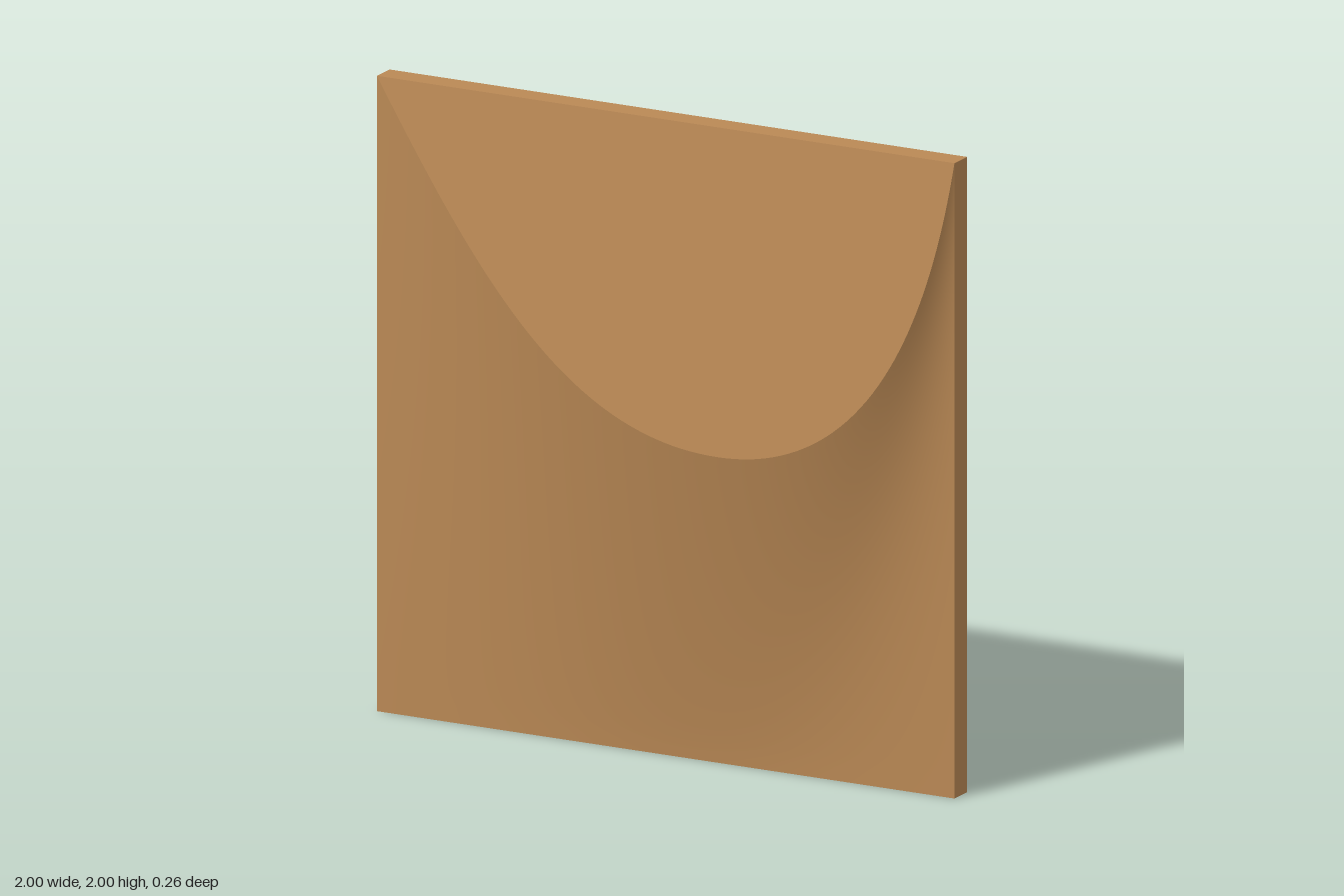
import * as THREE from 'three';

const V = (x, y) => new THREE.Vector2(x, y);
const COLUMNS = 96;
const ROWS = 32;

// Curved ridge, swooping from one top corner to the other
function ridgePoints() {
  const ridge = new THREE.CurvePath();
  ridge.add(new THREE.CubicBezierCurve(V(-1, 2), V(-0.6, 1.46), V(-0.25, 1.02), V(0.28, 1.02)));
  ridge.add(new THREE.CubicBezierCurve(V(0.28, 1.02), V(0.72, 1.02), V(0.95, 1.37), V(1, 2)));
  return ridge.getSpacedPoints(COLUMNS);
}

// Surface from a top row of points to a bottom row; power(t) sets how quickly
// the forward bulge dies away down each column
function sweep(top, bottom, rows, faceBack, power) {
  const pos = [], index = [];
  const n = top.length;
  for (let j = 0; j <= rows; j++) {
    const v = j / rows;
    for (let i = 0; i < n; i++) {
      const p = top[i].clone().lerp(bottom[i], v);
      const fade = Math.pow(1 - v, power(i / (n - 1)));
      pos.push(p.x, p.y, bottom[i].z + (top[i].z - bottom[i].z) * fade);
    }
  }
  for (let j = 0; j < rows; j++) {
    for (let i = 0; i < n - 1; i++) {
      const a = j * n + i, b = a + 1, c = a + n, d = c + 1;
      if (faceBack) index.push(a, b, c, b, d, c);
      else index.push(a, c, b, b, c, d);
    }
  }
  const geo = new THREE.BufferGeometry();
  geo.setAttribute('position', new THREE.Float32BufferAttribute(pos, 3));
  geo.setIndex(index);
  geo.computeVertexNormals();
  return geo;
}

// Square ring centred on y = 1
function ring(outer, inner, z0, z1) {
  const square = (Type, h) => new Type([V(-h, 1 - h), V(h, 1 - h), V(h, 1 + h), V(-h, 1 + h)]);
  const shape = square(THREE.Shape, outer);
  shape.holes.push(square(THREE.Path, inner));
  return new THREE.ExtrudeGeometry(shape, { depth: z1 - z0, bevelEnabled: false }).translate(0, 0, z0);
}

export function createModel() {
  const group = new THREE.Group();
  const wood = new THREE.MeshStandardMaterial({ color: 0xba8955 });
  wood.name = 'warm wood';

  const add = (name, geometry) => {
    const mesh = new THREE.Mesh(geometry, wood);
    mesh.name = name;
    group.add(mesh);
  };

  // Sculpted skin: flat leaning plane above the ridge, fading sweep below it.
  // half = half width, z = edge depth, peakY and peakZ = lowest point of the ridge
  const points = ridgePoints();
  const addRelief = (name, { half, z, peakY, peakZ, faceBack }) => {
    const topY = 1 + half;
    const ridge = points.map((p) => {
      const drop = (2 - p.y) / 0.98;
      return new THREE.Vector3(p.x * half, topY - drop * (topY - peakY), z + drop * (peakZ - z));
    });
    const top = points.map((p) => new THREE.Vector3(p.x * half, topY, z));
    const bottom = points.map((p, i) =>
      new THREE.Vector3((-1 + (2 * i) / COLUMNS) * half, 1 - half, z));
    add(name + 'UpperPlane', sweep(top, ridge, 1, faceBack, () => 1));
    add(name + 'LowerSweep', sweep(ridge, bottom, ROWS, faceBack, (t) => 1.18 + 0.5 * t ** 6));
  };
  addRelief('front', { half: 1, z: -0.05, peakY: 1.02, peakZ: 0.13, faceBack: false });
  addRelief('hollowBack', { half: 0.862, z: -0.078, peakY: 1.078, peakZ: 0.052, faceBack: true });

  // Stepped frame around the hollow back
  add('outerFrame', ring(1, 0.93, -0.13, -0.103));
  add('innerLedge', ring(1, 0.862, -0.103, -0.05));

  return group;
}
